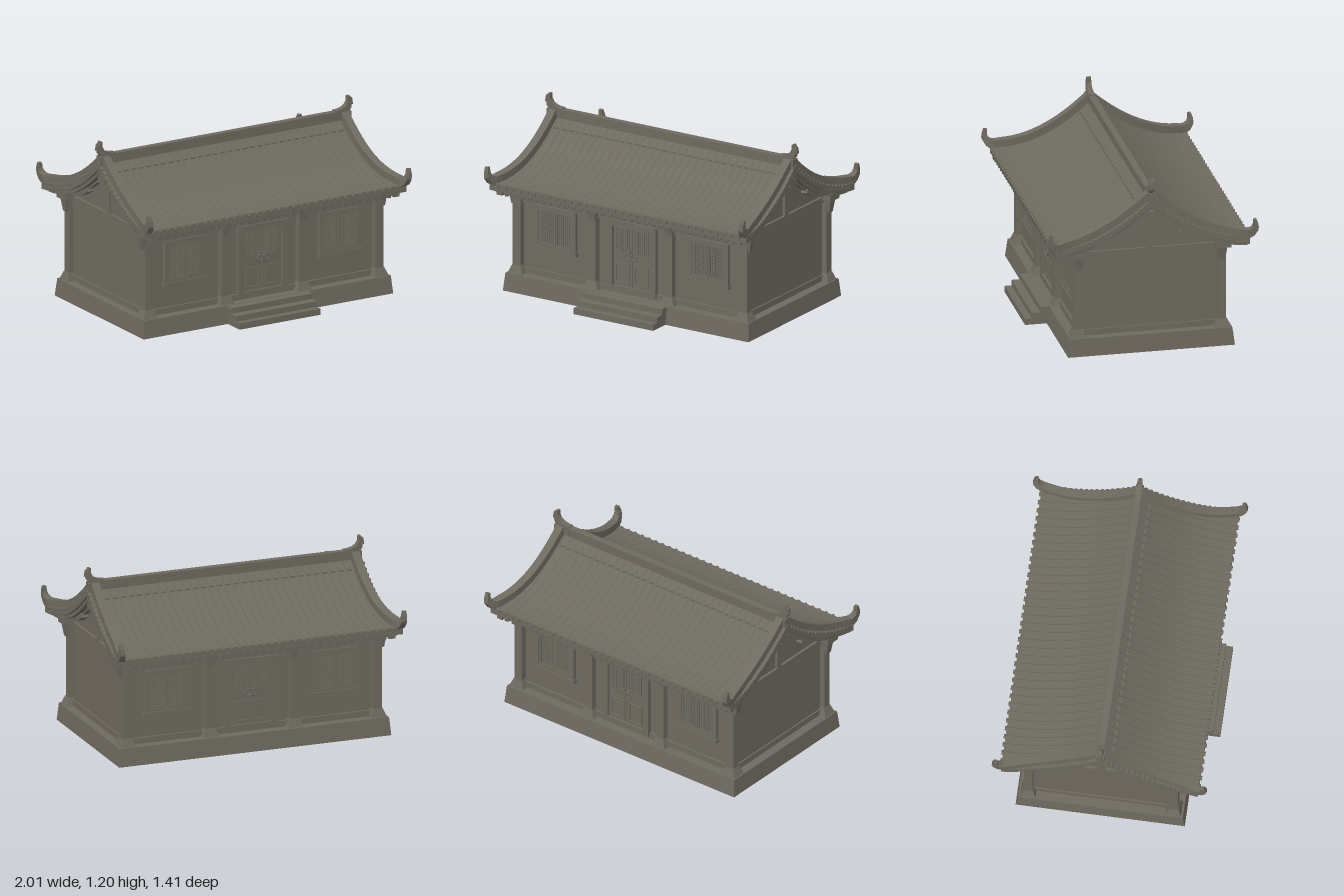
import * as THREE from 'three';

const stone = new THREE.MeshStandardMaterial({ color: 0x6e6a60, side: THREE.DoubleSide });
stone.name = 'weathered stone';

// Height of the sweeping verge line at depth z; the tiled surface lies 0.05 lower
const curve = z => 0.81 + 0.30 * (1 - Math.min(Math.abs(z), 0.66) / 0.66) ** 2;
const outerX = z => 0.96 + 0.035 * (z / 0.65) ** 2;
const vergeX = z => 0.91 + 0.065 * Math.abs(z / 0.65) ** 3;

function add(parent, name, geo, x = 0, y = 0, z = 0) {
  const m = new THREE.Mesh(geo, stone);
  m.name = name;
  m.position.set(x, y, z);
  parent.add(m);
  return m;
}

// Box given by its limits
function box(parent, name, x0, x1, y0, y1, z0, z1) {
  return add(parent, name, new THREE.BoxGeometry(x1 - x0, y1 - y0, z1 - z0),
    (x0 + x1) / 2, (y0 + y1) / 2, (z0 + z1) / 2);
}

// Tapered block standing on y0: wide bottom, different top
function taper(parent, name, x, y0, z, wb, db, wt, dt, h) {
  const g = new THREE.BoxGeometry(1, h, 1).toNonIndexed(), p = g.attributes.position;
  for (let i = 0; i < p.count; i++) {
    const top = p.getY(i) > 0;
    p.setX(i, p.getX(i) * (top ? wt : wb));
    p.setZ(i, p.getZ(i) * (top ? dt : db));
  }
  g.computeVertexNormals();
  return add(parent, name, g, x, y0 + h / 2, z);
}

// Remove the bottom face of a block so that it is hollow from below
function openBottom(mesh) {
  const g = mesh.geometry;
  const corners = g.index ? [...g.index.array] : [...Array(36).keys()];
  corners.splice(18, 6);
  g.setIndex(corners);
  g.clearGroups();
}

// Closed outline following the roof between two drops below the verge line
function roofBand(drop0, drop1, zMax) {
  const s = new THREE.Shape(), n = 32;
  for (let i = 0; i <= n; i++) {
    const z = -zMax + 2 * zMax * i / n;
    s[i ? 'lineTo' : 'moveTo'](z, curve(z) - drop0);
  }
  for (let i = n; i >= 0; i--) {
    const z = -zMax + 2 * zMax * i / n;
    s.lineTo(z, curve(z) - drop1);
  }
  return s;
}

// Extrude a (z, y) outline along x
function alongX(shape, x0, x1) {
  const g = new THREE.ExtrudeGeometry(shape, { depth: x1 - x0, bevelEnabled: false });
  return g.rotateY(Math.PI / 2).translate(x0, 0, 0);
}

// Sweep a rectangular section along points; size(t) returns [width, height]
function sweep(points, across, size) {
  const pos = [], n = points.length;
  const rings = points.map((p, i) => {
    const tan = points[Math.min(i + 1, n - 1)].clone().sub(points[Math.max(i - 1, 0)]).normalize();
    const up = tan.clone().cross(across).normalize();
    const side = up.clone().cross(tan);
    const [w, h] = size(i / (n - 1));
    return [[-1, -1], [1, -1], [1, 1], [-1, 1]].map(([a, b]) =>
      p.clone().addScaledVector(side, a * w / 2).addScaledVector(up, b * h / 2));
  });
  const quad = (a, b, c, d) => [a, b, c, a, c, d].forEach(v => pos.push(v.x, v.y, v.z));
  for (let i = 0; i < n - 1; i++) for (let k = 0; k < 4; k++) {
    const l = (k + 1) % 4;
    quad(rings[i][k], rings[i][l], rings[i + 1][l], rings[i + 1][k]);
  }
  quad(...[...rings[0]].reverse());
  quad(...rings[n - 1]);
  const g = new THREE.BufferGeometry();
  g.setAttribute('position', new THREE.Float32BufferAttribute(pos, 3));
  g.computeVertexNormals();
  return g;
}

// Crossed bars over a backing plate
function lattice(parent, x0, x1, y0, y1, z, cols, rows) {
  box(parent, 'latticeBack', x0, x1, y0, y1, z - 0.01, z);
  for (let i = 0; i <= cols; i++) {
    const x = x0 + (x1 - x0) * i / cols;
    box(parent, 'latticeBar', x - 0.003, x + 0.003, y0, y1, z, z + 0.012);
  }
  for (let i = 0; i <= rows; i++) {
    const y = y0 + (y1 - y0) * i / rows;
    box(parent, 'latticeBar', x0, x1, y - 0.003, y + 0.003, z, z + 0.011);
  }
}

// Four bars around an opening
function frame(parent, name, x0, x1, y0, y1, t, z0, z1) {
  box(parent, name, x0, x0 + t, y0, y1, z0, z1);
  box(parent, name, x1 - t, x1, y0, y1, z0, z1);
  box(parent, name, x0 + t, x1 - t, y1 - t, y1, z0, z1);
  box(parent, name, x0 + t, x1 - t, y0, y0 + t, z0, z1);
}

// Column with flared foot; its bracket is shifted outward by dx, dz
function column(parent, x, z, dx, dz) {
  box(parent, 'column', x - 0.03, x + 0.03, 0.12, 0.72, z - 0.028, z + 0.028);
  taper(parent, 'columnFoot', x, 0.12, z, 0.11, 0.1, 0.066, 0.062, 0.055);
  taper(parent, 'bracketTaper', x + dx, 0.59, z + dz, 0.04, 0.04, 0.07, 0.06, 0.09);
  box(parent, 'bracketBlock', x + dx - 0.05, x + dx + 0.05, 0.68, 0.735, z + dz - 0.055, z + dz + 0.05);
}

// One long side: columns, beams, door, windows and rafters
function facade() {
  const g = new THREE.Group();
  g.name = 'facade';
  for (const x of [-0.295, 0.295]) column(g, x, 0.475, 0, 0.015);
  box(g, 'lintelBeam', -0.88, 0.88, 0.61, 0.69, 0.455, 0.478);
  box(g, 'upperBeam', -0.9, 0.9, 0.685, 0.73, 0.455, 0.495);
  box(g, 'wallFoot', -0.88, 0.88, 0.12, 0.16, 0.455, 0.475);

  // Double door with lattice above and panels below
  frame(g, 'doorFrame', -0.188, 0.188, 0.13, 0.62, 0.042, 0.455, 0.49);
  for (const s of [-1, 1]) {
    const a = s < 0 ? -0.143 : 0.003, b = s < 0 ? -0.003 : 0.143;
    box(g, 'doorLeaf', a, b, 0.145, 0.6, 0.455, 0.475);
    lattice(g, a + 0.02, b - 0.02, 0.41, 0.57, 0.471, 7, 11);
    frame(g, 'doorPanel', a + 0.014, b - 0.014, 0.19, 0.33, 0.012, 0.475, 0.483);
    add(g, 'ringHandle', new THREE.TorusGeometry(0.022, 0.006, 6, 16), s * 0.022, 0.385, 0.488);
    box(g, 'handlePlate', s * 0.022 - 0.012, s * 0.022 + 0.012, 0.395, 0.425, 0.475, 0.49);
  }

  // Shuttered windows with a sill, and the carved drop above
  for (const s of [-1, 1]) {
    const c = s * 0.59;
    frame(g, 'windowFrame', c - 0.158, c + 0.158, 0.32, 0.612, 0.03, 0.455, 0.488);
    box(g, 'windowSill', c - 0.165, c + 0.165, 0.305, 0.33, 0.455, 0.495);
    for (const k of [-1, 1]) {
      const m = c + k * 0.063;
      frame(g, 'shutter', m - 0.062, m + 0.062, 0.35, 0.585, 0.013, 0.455, 0.484);
      lattice(g, m - 0.05, m + 0.05, 0.362, 0.572, 0.468, 7, 14);
    }
    taper(g, 'carvedDrop', c, 0.645, 0.485, 0.03, 0.03, 0.12, 0.04, 0.06);
  }

  // Rafters, eave board, round tile ends and drip tiles over low tile rolls
  box(g, 'eaveBoard', -0.96, 0.96, 0.7, 0.73, 0.61, 0.63);
  const n = 34;
  for (let i = 0; i < n; i++) {
    const x = -0.93 + 1.86 * i / (n - 1);
    add(g, 'rafter', new THREE.BoxGeometry(0.022, 0.024, 0.17), x, 0.706, 0.55).rotation.x = 0.13;
    add(g, 'tileEnd', new THREE.CylinderGeometry(0.015, 0.015, 0.035, 10), x, 0.745, 0.64).rotation.x = Math.PI / 2;
    const pts = [];
    for (let k = 0; k <= 10; k++) {
      const z = 0.02 + 0.62 * k / 10;
      pts.push(new THREE.Vector3(x, curve(z) - 0.057, z));
    }
    add(g, 'tileRoll', new THREE.TubeGeometry(new THREE.CatmullRomCurve3(pts), 12, 0.009, 6));
    if (i < n - 1) {
      taper(g, 'dripTile', x + 0.028, 0.7, 0.641, 0.01, 0.012, 0.036, 0.012, 0.03);
      box(g, 'ridgeTile', x + 0.012, x + 0.044, 0.99, 1.003, 0.06, 0.08);
    }
  }
  return g;
}

// One gable end, built at +x
function gable() {
  const g = new THREE.Group();
  g.name = 'gable';
  for (const s of [-1, 1]) column(g, 0.876, s * 0.477, 0.026, 0);
  box(g, 'tieBeam', 0.85, 0.888, 0.66, 0.7, -0.46, 0.46);
  box(g, 'wallFoot', 0.85, 0.88, 0.12, 0.16, -0.45, 0.45);
  box(g, 'kingPost', 0.85, 0.888, 0.7, 0.93, -0.022, 0.022);
  box(g, 'ridgePurlin', 0.85, 0.94, 0.91, 0.965, -0.04, 0.04);
  add(g, 'bargeBoard', alongX(roofBand(0.085, 0.125, 0.64), 0.9, 0.945));
  add(g, 'innerRafter', alongX(roofBand(0.09, 0.14, 0.46), 0.85, 0.905));
  for (const s of [-1, 1]) {
    add(g, 'purlin', new THREE.BoxGeometry(0.06, 0.04, 0.1), 0.885, 0.79, s * 0.25).rotation.x = s * 0.5;
    // Verge ridge sweeping out to an upturned hook
    const pts = [];
    for (let k = 0; k <= 14; k++) {
      const z = 0.63 * k / 14;
      pts.push(new THREE.Vector3(vergeX(z), curve(z) - 0.035, s * z));
    }
    pts.push(new THREE.Vector3(0.977, 0.79, s * 0.66), new THREE.Vector3(0.983, 0.815, s * 0.681),
      new THREE.Vector3(0.987, 0.845, s * 0.685), new THREE.Vector3(0.99, 0.88, s * 0.678));
    add(g, 'vergeRidge', sweep(pts, new THREE.Vector3(1, 0, 0),
      t => t < 0.75 ? [0.055, 0.07] : [0.055 - 0.12 * (t - 0.75), 0.07 - 0.2 * (t - 0.75)]));
    taper(g, 'hookBarb', 0.985, 0.82, s * 0.69, 0.03, 0.03, 0.015, 0.01, 0.04);
    // Low tiles laid across the verge
    for (let k = 0; k < 18; k++) {
      const z = 0.04 + 0.59 * k / 17, len = outerX(z) + 0.005 - vergeX(z);
      add(g, 'vergeTile', new THREE.CylinderGeometry(0.011, 0.011, len, 8),
        vergeX(z) + len / 2, curve(z) - 0.056, s * z).rotation.z = Math.PI / 2;
    }
  }
  // Upturned end of the main ridge
  const tip = [[0.84, 1.085], [0.88, 1.09], [0.915, 1.105], [0.94, 1.13], [0.95, 1.165], [0.943, 1.2]]
    .map(([x, y]) => new THREE.Vector3(x, y, 0));
  add(g, 'ridgeHook', sweep(tip, new THREE.Vector3(0, 0, 1), t => [0.042 - 0.012 * t, 0.06 - 0.045 * t * t]));
  taper(g, 'ridgeBarb', 0.962, 1.14, 0, 0.025, 0.03, 0.015, 0.02, 0.045);
  box(g, 'ridgeEnd', 0.88, 0.955, 1.02, 1.1, -0.026, 0.026);
  return g;
}

export function createModel() {
  const model = new THREE.Group();
  model.name = 'courtyardHouse';

  // Hollow plinth and front steps, open underneath
  openBottom(taper(model, 'plinth', 0, 0, 0, 1.9, 1.11, 1.88, 1.08, 0.12));
  [[0.655, 0.7, 0.042], [0.597, 0.655, 0.08], [0.54, 0.597, 0.118]].forEach(([z0, z1, y]) =>
    openBottom(box(model, 'step', -0.308, 0.308, 0, y, z0, z1)));

  // Walls rising into the gables
  const wall = roofBand(0.08, 0.08, 0.46).getPoints().slice(0, 33);
  wall.push(new THREE.Vector2(0.46, 0.12), new THREE.Vector2(-0.46, 0.12));
  add(model, 'walls', alongX(new THREE.Shape(wall.reverse()), -0.87, 0.87));

  // Tiled roof slab, flaring outward at the eaves
  const slab = alongX(roofBand(0.05, 0.1, 0.645), -1, 1), p = slab.attributes.position;
  for (let i = 0; i < p.count; i++) p.setX(i, p.getX(i) * outerX(p.getZ(i)));
  slab.computeVertexNormals();
  add(model, 'roof', slab);

  // Main ridge
  box(model, 'ridge', -0.9, 0.9, 1.03, 1.095, -0.018, 0.018);
  box(model, 'ridgeCap', -0.88, 0.88, 1.09, 1.108, -0.022, 0.022);

  // Both long sides and both ends
  for (const turn of [0, Math.PI]) {
    for (const part of [facade(), gable()]) {
      part.rotation.y = turn;
      model.add(part);
    }
  }
  return model;
}
